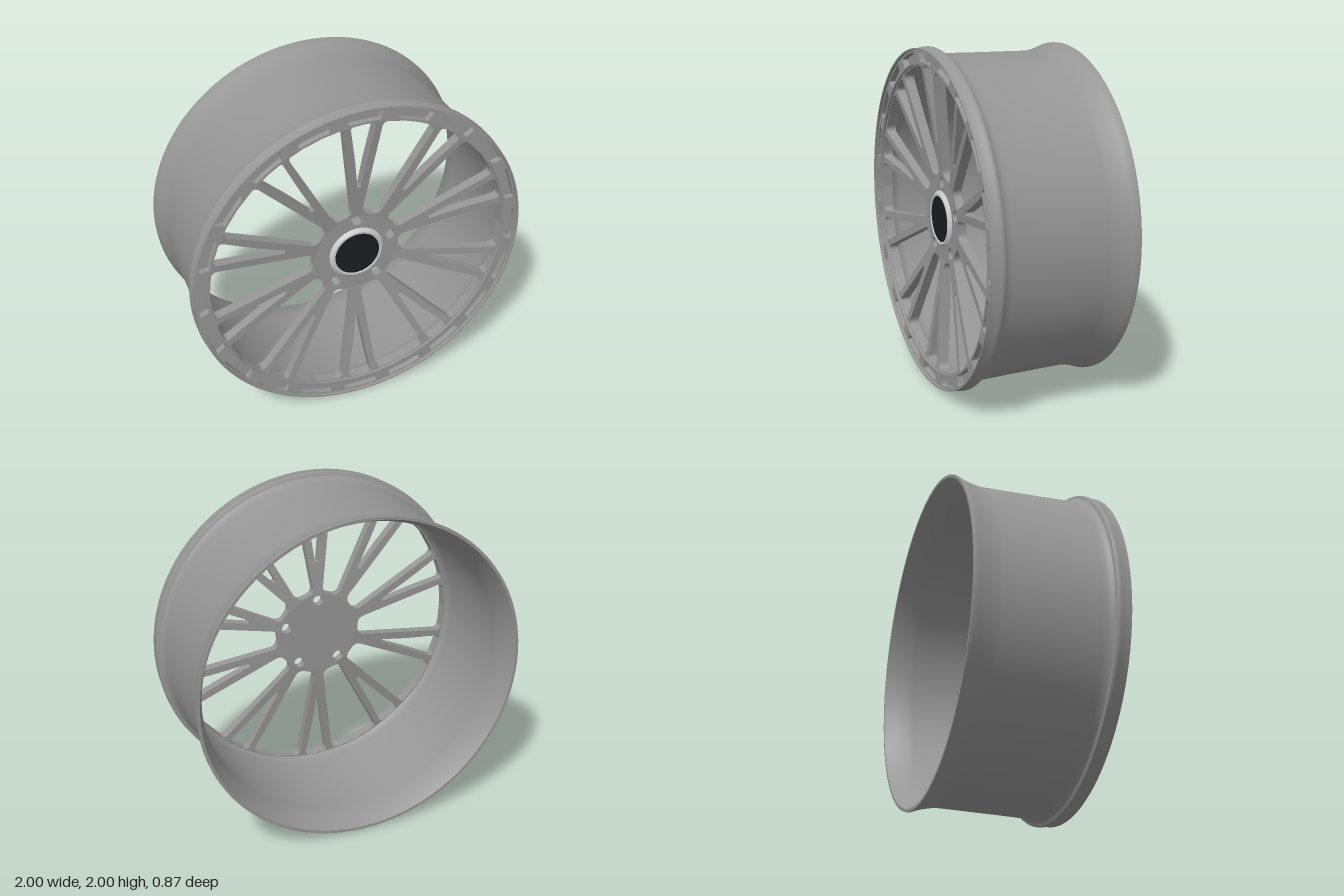
import * as THREE from 'three';
import { toCreasedNormals } from 'three/addons/utils/BufferGeometryUtils.js';

const HUB_BACK = 0.28, HUB_FRONT = 0.33, RIM_BACK = 0.345, RIM_FRONT = 0.405;
const STEP = Math.PI / 5; // ten identical spoke sectors
const V = (x, y) => new THREE.Vector2(x, y);
const polar = (r, a) => [r * Math.cos(a), r * Math.sin(a)];

// Closed outline with rounded corners from [x, y, radius] points
function roundedShape(points) {
  const shape = new THREE.Shape();
  const p = points.map(([x, y]) => V(x, y));
  const n = p.length;
  for (let i = 0; i < n; i++) {
    const c = p[i], r = points[i][2];
    const toward = (q) => c.clone().add(q.clone().sub(c).setLength(r));
    const a = toward(p[(i + n - 1) % n]), b = toward(p[(i + 1) % n]);
    if (i === 0) shape.moveTo(a.x, a.y);
    else shape.lineTo(a.x, a.y);
    if (r > 0) shape.quadraticCurveTo(c.x, c.y, b.x, b.y);
  }
  shape.closePath();
  return shape;
}

function circlePath(x, y, r) {
  return new THREE.Path().absarc(x, y, r, 0, Math.PI * 2, true);
}

// Outline of a pocket in the outer ring
function pocket(angle) {
  const pts = [];
  for (const [r, h, dir] of [[0.974, 0.116, 1], [0.914, 0.1, -1]]) {
    for (let i = -2; i <= 2; i++) {
      pts.push([...polar(r, angle + dir * h * i / 2), Math.abs(i) === 2 ? 0.012 : 0]);
    }
  }
  return roundedShape(pts);
}

function extrude(shape, depth, z) {
  const g = new THREE.ExtrudeGeometry(shape, { depth, bevelEnabled: false, curveSegments: 24 });
  return g.translate(0, 0, z);
}

function latheZ(profile, segments = 128) {
  const g = new THREE.LatheGeometry(profile.map(([r, z]) => V(r, z)), segments);
  g.rotateX(Math.PI / 2);
  return toCreasedNormals(g, 0.5);
}

// One forked spoke along +x, bounded by half a wide window on each side
function spokeGeometry() {
  const side = [[0.262, 0, 0], [0.262, 0.056, 0.042], [0.88, 0.166, 0.04], [0.897, 0, 0]];
  const lower = side.map(([x, y, r]) => {
    const q = V(x, y).rotateAround(V(0, 0), -STEP / 2);
    return [q.x, q.y, r];
  });
  const upper = lower.map(([x, y, r]) => [x, -y, r]).reverse();
  const arc = [-2, -1, 0, 1, 2].map((i) => [...polar(0.91, i * STEP / 4), 0]);
  const shape = roundedShape([...lower, ...arc, ...upper]);
  shape.holes.push(roundedShape([
    [0.462, -0.01, 0.009], [0.66, -0.036, 0.03], [0.892, -0.076, 0.028], [0.897, 0, 0],
    [0.892, 0.076, 0.028], [0.66, 0.036, 0.03], [0.462, 0.01, 0.009],
  ]));
  const g = extrude(shape, 1, 0);
  // Lean the spoke forward from hub to rim
  const pos = g.attributes.position;
  for (let i = 0; i < pos.count; i++) {
    const t = (pos.getX(i) - 0.249) / 0.64;
    pos.setZ(i, pos.getZ(i) > 0.5
      ? THREE.MathUtils.lerp(HUB_FRONT, RIM_FRONT, t)
      : THREE.MathUtils.lerp(HUB_BACK, RIM_BACK, t));
  }
  return toCreasedNormals(g, 0.5);
}

export function createModel() {
  const group = new THREE.Group();
  const metal = new THREE.MeshStandardMaterial({ color: 0x969696 });
  const bright = new THREE.MeshStandardMaterial({ color: 0xcccccc });
  const dark = new THREE.MeshStandardMaterial({ color: 0x1b1c20 });
  const add = (name, geometry, material = metal) => {
    const mesh = new THREE.Mesh(geometry, material);
    mesh.name = name;
    mesh.position.y = 1;
    group.add(mesh);
    return mesh;
  };

  // Barrel with flared rear lip, stepped front lip and a ledge behind the outer ring
  add('rimBarrel', latheZ([
    [0.968, -0.437], [0.985, -0.437], [0.986, -0.425], [0.972, -0.39], [0.958, -0.34],
    [0.948, -0.29], [0.945, -0.26], [0.952, 0.1], [0.957, 0.28], [0.961, 0.31],
    [0.967, 0.333], [0.978, 0.347], [0.997, 0.355], [1.0, 0.361], [1.0, 0.378],
    [0.994, 0.39], [0.994, 0.437], [0.985, 0.437], [0.982, 0.385], [0.9, 0.385],
    [0.9, 0.345], [0.913, 0.325], [0.92, 0.29], [0.915, -0.26], [0.92, -0.3],
    [0.935, -0.36], [0.955, -0.41], [0.968, -0.437],
  ]));

  // Outer ring with twenty shallow pockets
  const ring = new THREE.Shape().absarc(0, 0, 0.986, 0, Math.PI * 2);
  ring.holes.push(circlePath(0, 0, 0.902));
  for (let i = 0; i < 20; i++) ring.holes.push(pocket(i * STEP / 2));
  add('pocketRing', toCreasedNormals(extrude(ring, 0.05, 0.37), 0.5));

  // Ten forked spokes
  const spoke = spokeGeometry();
  for (let i = 0; i < 10; i++) add('spoke', spoke).rotation.z = (i + 0.5) * STEP;

  // Ten-sided hub plate with five bolt holes
  const hub = roundedShape(Array.from({ length: 10 }, (_, i) => [...polar(0.262, i * STEP), 0]));
  for (let i = 0; i < 5; i++) {
    hub.holes.push(circlePath(...polar(0.22, Math.PI / 2 + i * 2 * STEP), 0.033));
  }
  add('hubPlate', toCreasedNormals(extrude(hub, HUB_FRONT - HUB_BACK, HUB_BACK), 0.5));

  // Raised hub ring and dark centre cap
  add('hubRing', latheZ([[0.168, 0.32], [0.166, 0.336], [0.15, 0.35], [0.138, 0.35], [0.134, 0.342], [0.134, 0.32]], 64), bright);
  const cap = new THREE.CylinderGeometry(0.135, 0.135, 0.03, 64);
  cap.rotateX(Math.PI / 2).translate(0, 0, 0.331);
  add('centreCap', cap, dark);

  return group;
}
